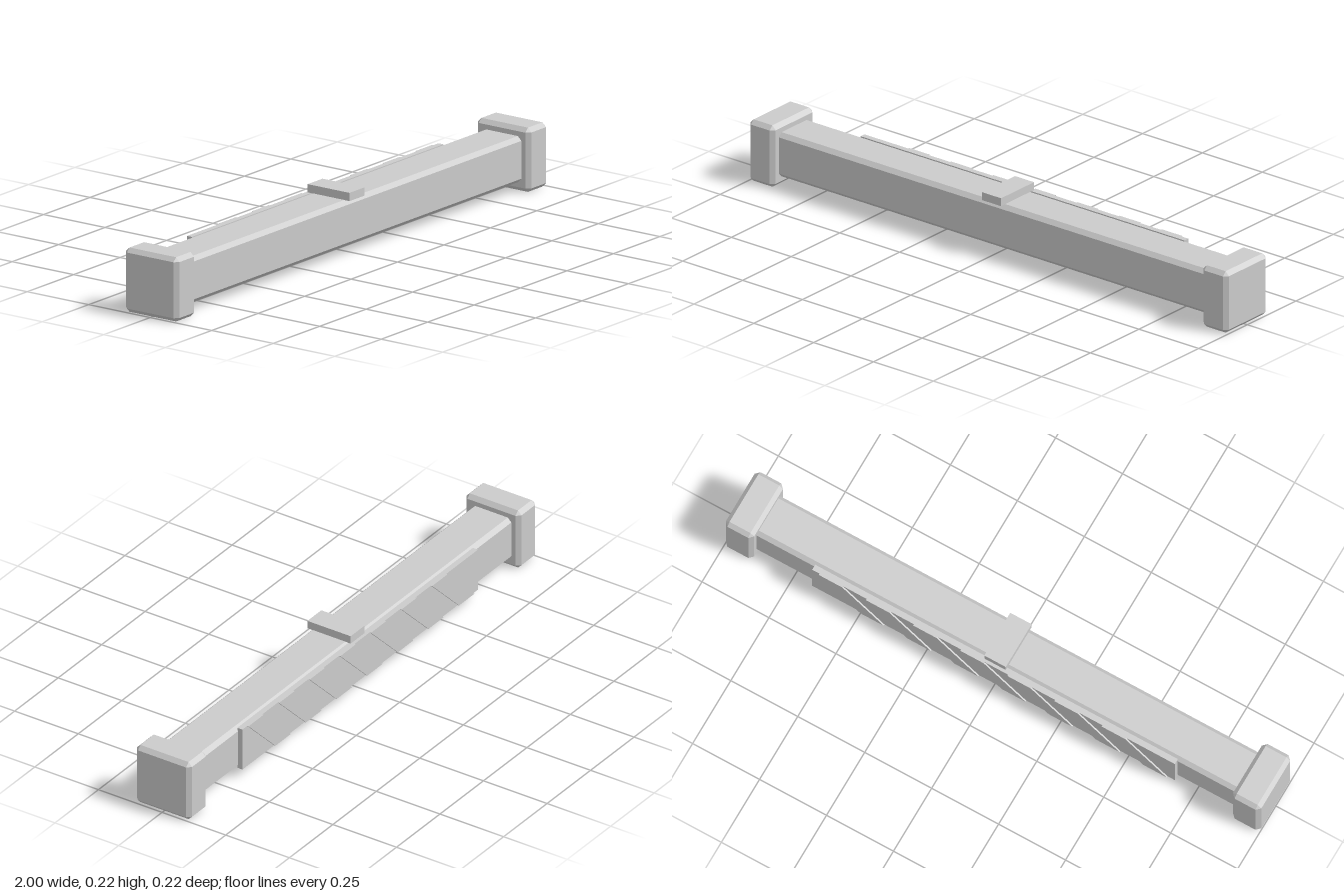
import * as THREE from 'three';
import { ConvexGeometry } from 'three/addons/geometries/ConvexGeometry.js';

const material = new THREE.MeshStandardMaterial({ color: 0xcccccc, flatShading: true });

const MID_Y = 0.1085; // height of the beam axis

function addPart(parent, name, geometry, x = 0, y = 0, z = 0) {
  const mesh = new THREE.Mesh(geometry, material);
  mesh.name = name;
  mesh.position.set(x, y, z);
  parent.add(mesh);
  return mesh;
}

// Box with all twelve edges cut at 45 degrees: three points per corner
function chamferedBox(w, h, d, c) {
  const points = [];
  for (const sx of [-1, 1]) for (const sy of [-1, 1]) for (const sz of [-1, 1]) {
    for (let axis = 0; axis < 3; axis++) {
      const half = [w / 2 - c, h / 2 - c, d / 2 - c];
      half[axis] += c;
      points.push(new THREE.Vector3(sx * half[0], sy * half[1], sz * half[2]));
    }
  }
  return new ConvexGeometry(points);
}

// Slanted bar: a parallelogram leaning towards +x at the top
function slantedBar(width, height, lean, depth) {
  const shape = new THREE.Shape([
    new THREE.Vector2(-width / 2 - lean / 2, -height / 2),
    new THREE.Vector2(width / 2 - lean / 2, -height / 2),
    new THREE.Vector2(width / 2 + lean / 2, height / 2),
    new THREE.Vector2(-width / 2 + lean / 2, height / 2),
  ]);
  return new THREE.ExtrudeGeometry(shape, { depth, bevelEnabled: false });
}

export function createModel() {
  const model = new THREE.Group();
  model.name = 'barrierBeam';

  // Long beam with chamfered edges, its ends inside the caps
  addPart(model, 'beam', chamferedBox(1.84, 0.156, 0.156, 0.014), 0, MID_Y, 0);

  // End caps
  const capGeometry = chamferedBox(0.106, 0.217, 0.217, 0.014);
  addPart(model, 'leftEndCap', capGeometry, 0.947, MID_Y, 0);
  addPart(model, 'rightEndCap', capGeometry, -0.947, MID_Y, 0);

  // Flat clip across the middle of the top
  addPart(model, 'topClip', new THREE.BoxGeometry(0.08, 0.028, 0.17), 0, 0.2, 0);

  // Back panel with raised diagonal stripes
  const panelHeight = 0.152;
  addPart(model, 'backPanel', new THREE.BoxGeometry(1.354, panelHeight, 0.02), 0, MID_Y, -0.085);

  const stripes = new THREE.Group();
  stripes.name = 'panelStripes';
  const stripeGeometry = slantedBar(0.088, panelHeight, 0.155, 0.008);
  for (let i = -3; i <= 3; i++) {
    addPart(stripes, 'stripe', stripeGeometry, i * 0.176, MID_Y, -0.1);
  }
  model.add(stripes);

  return model;
}
